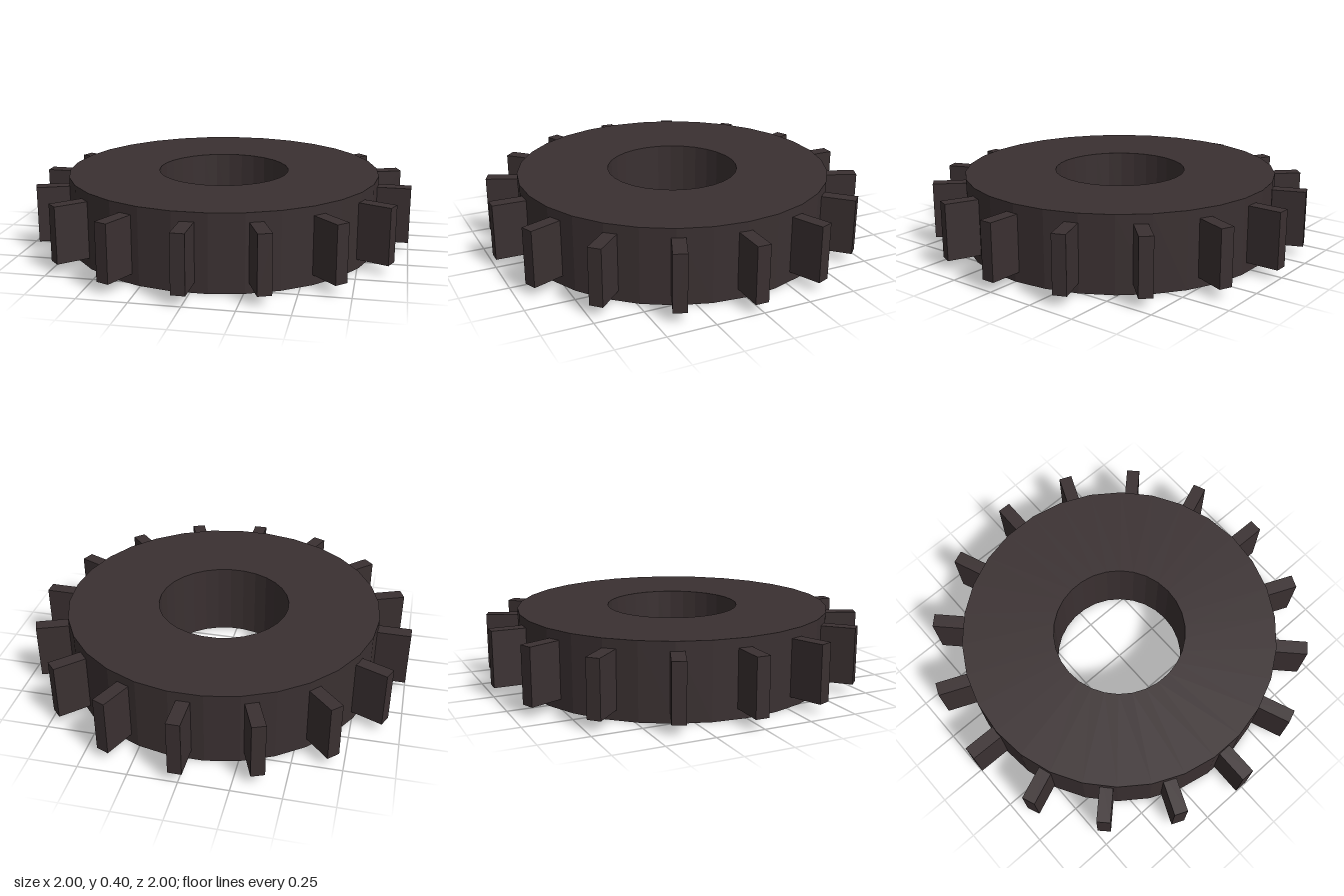
import * as THREE from 'three';

export function createModel() {
  const group = new THREE.Group();
  const darkIron = new THREE.MeshStandardMaterial({ color: 0x3a3031, flatShading: true });
  darkIron.name = 'darkIron';

  // Ring body: closed rectangular section turned about the axle
  const outer = 0.83, inner = 0.348, height = 0.395, sides = 30;
  const section = [
    [inner, 0], [outer, 0], [outer, height], [inner, height], [inner, 0],
  ].map(([r, y]) => new THREE.Vector2(r, y));
  const ring = new THREE.Mesh(new THREE.LatheGeometry(section, sides, Math.PI / sides), darkIron);
  ring.name = 'gearRing';
  group.add(ring);

  // Sixteen square teeth, turned slightly off the axes
  const teeth = new THREE.Group();
  teeth.name = 'gearTeeth';
  const toothGeometry = new THREE.BoxGeometry(0.25, 0.295, 0.07).translate(0.875, 0.2, 0);
  const count = 16, offset = THREE.MathUtils.degToRad(-0.8);
  for (let i = 0; i < count; i++) {
    const tooth = new THREE.Mesh(toothGeometry, darkIron);
    tooth.name = 'tooth';
    tooth.rotation.y = offset + (i / count) * Math.PI * 2;
    teeth.add(tooth);
  }
  group.add(teeth);

  return group;
}
